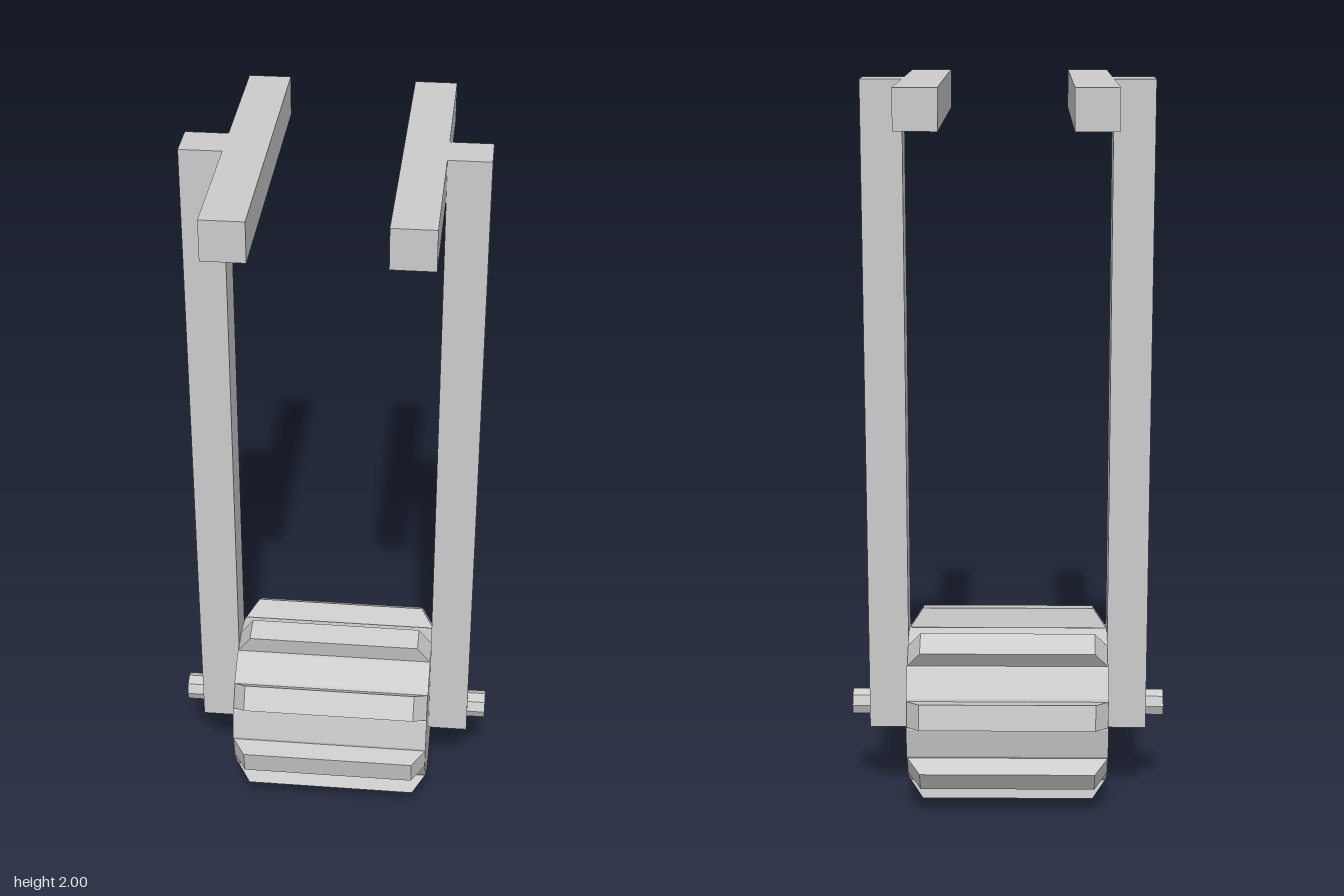
import * as THREE from 'three';

const material = new THREE.MeshStandardMaterial({ color: 0xcccccc, flatShading: true });

function add(parent, name, geometry, x = 0, y = 0, z = 0) {
  const mesh = new THREE.Mesh(geometry, material);
  mesh.name = name;
  mesh.position.set(x, y, z);
  parent.add(mesh);
  return mesh;
}

export function createModel() {
  const group = new THREE.Group();
  group.name = 'toothedRoller';
  const axleY = 0.27;

  // Upright posts and the handle bars on their inner sides
  for (const [side, s] of [['left', 1], ['right', -1]]) {
    add(group, side + 'Post', new THREE.BoxGeometry(0.11, 1.785, 0.11), s * 0.33, 1.1075, 0);
    add(group, side + 'HandleBar', new THREE.BoxGeometry(0.11, 0.105, 0.88), s * 0.22, 1.9475, 0);
  }

  // Axle through posts and roller
  add(group, 'axle', new THREE.CylinderGeometry(0.038, 0.038, 0.87, 8).rotateZ(Math.PI / 2), 0, axleY, 0);

  // Sixteen-sided roller drum
  const roller = new THREE.Group();
  roller.name = 'roller';
  roller.position.y = axleY;
  group.add(roller);
  add(roller, 'drum', new THREE.CylinderGeometry(0.218, 0.218, 0.55, 16).rotateZ(Math.PI / 2));

  // Teeth with sloped ends, one on every second drum face
  const profile = new THREE.Shape([
    new THREE.Vector2(-0.275, 0.212),
    new THREE.Vector2(0.275, 0.212),
    new THREE.Vector2(0.238, 0.268),
    new THREE.Vector2(-0.238, 0.268),
  ]);
  const tooth = new THREE.ExtrudeGeometry(profile, { depth: 0.07, bevelEnabled: false }).translate(0, 0, -0.035);
  for (let i = 0; i < 8; i++) {
    add(roller, 'tooth' + (i + 1), tooth).rotation.x = Math.PI / 16 + (i * Math.PI) / 4;
  }

  return group;
}
